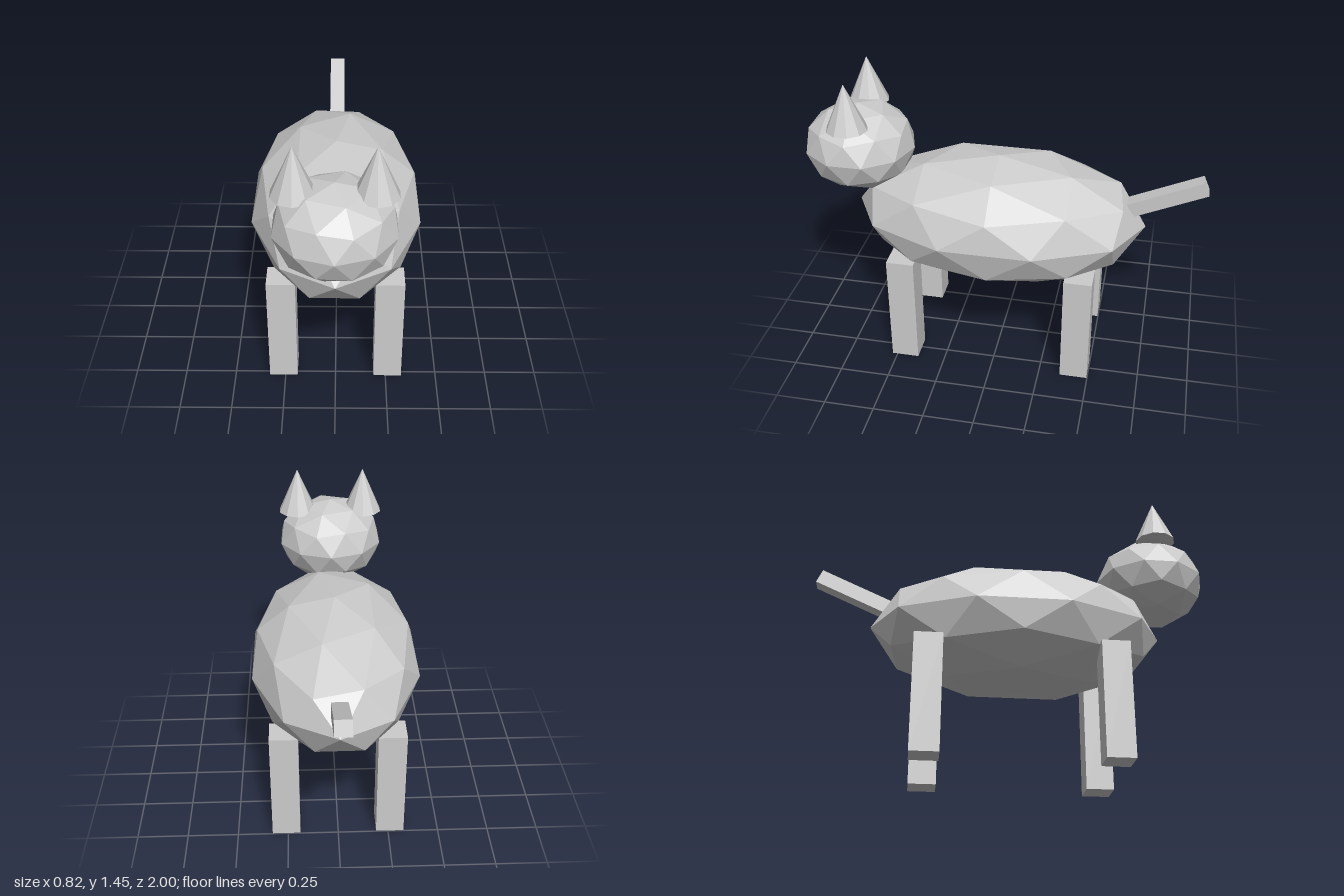
import * as THREE from 'three';

const grey = new THREE.MeshStandardMaterial({ color: 0xcccccc, flatShading: true });
grey.name = 'light grey';

function addPart(group, name, geometry, x, y, z) {
  const mesh = new THREE.Mesh(geometry, grey);
  mesh.name = name;
  mesh.position.set(x, y, z);
  group.add(mesh);
  return mesh;
}

// Faceted ellipsoid with its poles up and down
function ellipsoid(rx, ry, rz) {
  const g = new THREE.IcosahedronGeometry(1, 1);
  g.rotateZ(-Math.atan(2 / (1 + Math.sqrt(5)))); // turn one corner to the top
  g.scale(rx, ry, rz);
  g.computeVertexNormals();
  return g;
}

export function createModel() {
  const cat = new THREE.Group();
  cat.name = 'cat';

  addPart(cat, 'body', ellipsoid(0.43, 0.323, 0.732), 0, 0.738, 0.015);
  addPart(cat, 'head', ellipsoid(0.28, 0.22, 0.278), 0, 1.06, 0.722);

  for (const [side, s] of [['left', 1], ['right', -1]]) {
    // Pointed ears
    addPart(cat, side + 'Ear', new THREE.ConeGeometry(0.102, 0.23, 10), s * 0.174, 1.335, 0.722);

    // Square legs
    for (const [end, z] of [['Front', 0.457], ['Back', -0.428]]) {
      addPart(cat, side + end + 'Leg', new THREE.BoxGeometry(0.138, 0.578, 0.138), s * 0.259, 0.289, z);
    }
  }

  // Raised tail
  const tail = addPart(cat, 'tail', new THREE.BoxGeometry(0.078, 0.073, 0.385), 0, 0.919, -0.81);
  tail.rotation.x = 0.42;

  return cat;
}
